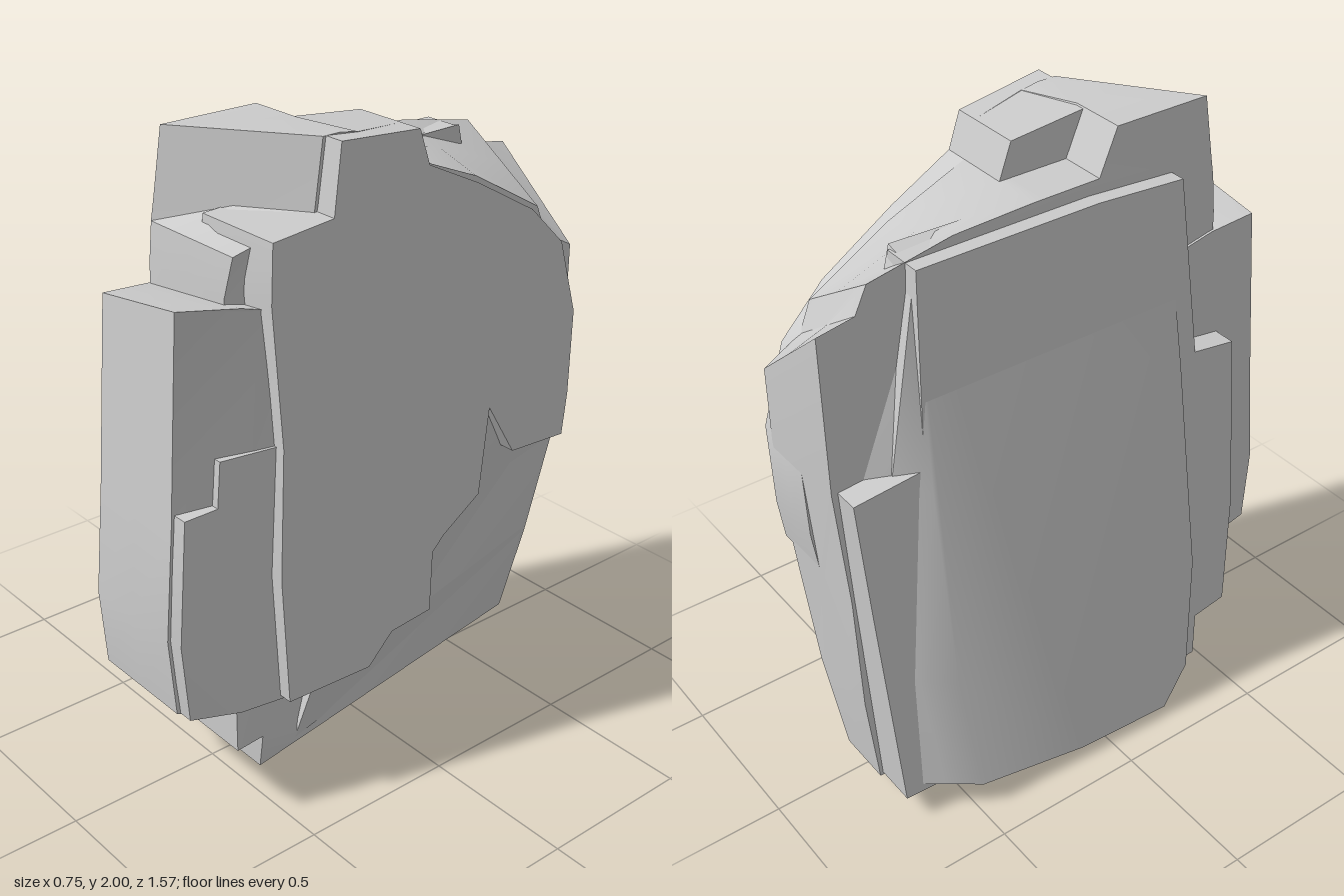
import * as THREE from 'three';
import { toCreasedNormals } from 'three/addons/utils/BufferGeometryUtils.js';

const material = new THREE.MeshStandardMaterial({ color: 0xcccccc, roughness: 0.9 });
const { lerp, smoothstep } = THREE.MathUtils;

// A rock layer: an outline of [z, y] corners, spanning x from left(y, z) to right(y, z).
// warp(w, y, z) returns a shifted [y, z], where w runs from 0 to 1 across the thickness.
function layer(name, outline, left, right, warp = (w, y, z) => [y, z]) {
  const shape = new THREE.Shape(outline.map(([z, y]) => new THREE.Vector2(-z, y)));
  const geo = new THREE.ExtrudeGeometry(shape, { depth: 1, steps: 2, bevelEnabled: false });
  geo.rotateY(Math.PI / 2);
  const p = geo.attributes.position;
  for (let i = 0; i < p.count; i++) {
    const w = p.getX(i), y = p.getY(i), z = p.getZ(i);
    p.setXYZ(i, lerp(left(y, z), right(y, z), w), ...warp(w, y, z));
  }
  const mesh = new THREE.Mesh(toCreasedNormals(geo, 0.6), material);
  mesh.name = name;
  return mesh;
}

export function createModel() {
  const group = new THREE.Group();
  group.name = 'layeredRock';
  const at = (x) => () => x;
  const leanLeft = (y) => -0.38 + 0.14 * y;
  const faceRight = (y, z) => 0.315 + 0.095 * z + 0.015 * (1 - y);
  // Lower flank, undercut towards the bottom and the back
  const undercut = (y, z) => Math.min(0.03 + 0.22 * y + 0.2 * Math.max(0, z + 0.3), 0.26);
  // Side of the front blocks, splaying out to meet the broad face slab
  const splay = (front) => (y, z) => lerp(0.34, front, smoothstep(z, 0.42, 0.74));

  group.add(
    // Main body: back top falling away to the left, front top corner cut at a slant
    layer('core', [
      [0.52, 2], [0.2, 2], [0.14, 1.99], [-0.05, 1.97], [-0.09, 1.86], [-0.35, 1.85],
      [-0.62, 1.8], [-0.66, 1.72], [-0.78, 1.7], [-0.78, 1.2], [-0.75, 0.8], [-0.74, 0.4],
      [-0.71, 0.08], [-0.35, 0.06], [0.2, 0.03], [0.46, 0.05], [0.47, 0.18], [0.57, 0.18],
      [0.57, 0.4], [0.57, 1.62], [0.56, 1.74], [0.55, 1.8],
    ], (y) => -0.14 + 0.02 * y,
    (y, z) => Math.min(undercut(y, z), 0.22 + 0.02 * z + (y > 1.7 && z > 0.1 ? 0.04 : 0)),
    (w, y, z) => {
      if (z > 0.45 && y > 1.78) return [y, z - 0.26 * w];
      if (z < -0.1 && y > 1.5) return [y + w * 0.38 * (z + 0.1), z];
      return [z < 0.18 && w < 0.75 ? Math.min(y, 1.86) : y, z];
    }),

    // Broad face slab with its corner notch, sloping back top and broken lower edge
    layer('leftSlab', [
      [0.25, 2], [-0.05, 1.97], [-0.09, 1.86], [-0.3, 1.76], [-0.55, 1.62], [-0.7, 1.48],
      [-0.78, 1.23], [-0.77, 0.95], [-0.75, 0.81], [-0.5, 0.84], [-0.38, 1.03], [-0.34, 0.75],
      [-0.18, 0.67], [-0.13, 0.63], [-0.12, 0.43], [0.05, 0.43], [0.15, 0.35], [0.48, 0.39],
      [0.5, 0.8], [0.48, 1.2], [0.51, 1.62], [0.5, 1.79], [0.28, 1.8],
    ], at(0.05), faceRight),

    // Chipped shelf beneath the broad face slab
    layer('lowerLeftShelf', [
      [-0.36, 1.05], [-0.5, 0.9], [-0.74, 0.82], [-0.73, 0.4], [-0.71, 0.09], [-0.3, 0.08],
      [0.3, 0.06], [0.2, 0.45], [0, 0.6],
    ], at(-0.05), undercut),

    // Projecting front block, wider in its lower half
    layer('frontBlock', [
      [0.42, 1.58], [0.56, 1.61], [0.72, 1.62], [0.76, 1], [0.79, 0.65], [0.77, 0.4],
      [0.6, 0.36], [0.42, 0.38],
    ], (y) => -0.14 + 0.015 * y, splay(0.22),
    (w, y, z) => [y > 1.5 ? y + 0.05 * (w - 1) : y, z]),
    layer('frontBlockStep', [
      [0.42, 1.2], [0.64, 1.19], [0.65, 1.05], [0.75, 1.04], [0.78, 0.65], [0.76, 0.4],
      [0.6, 0.37], [0.42, 0.38],
    ], at(0), splay(0.27)),

    // Leaning slabs on the right-hand side, the upper part set in from the back
    layer('rightSlab', [
      [0.4, 1.8], [0.1, 1.82], [-0.35, 1.82], [-0.5, 1.82], [-0.53, 1.22], [-0.76, 1.2],
      [-0.74, 0.8], [-0.7, 0.09], [0.2, 0.04], [0.45, 0.05], [0.46, 0.2], [0.58, 0.22],
      [0.61, 0.6], [0.6, 1.2], [0.45, 1.22],
    ], (y) => -0.28 + 0.07 * y, at(-0.02)),
    layer('outerRightSlab', [
      [0.36, 1.77], [0, 1.79], [-0.49, 1.8], [-0.52, 1.15], [-0.52, 0.5], [-0.48, 0.09],
      [-0.1, 0.02], [0.24, 0], [0.34, 0.12], [0.39, 0.5], [0.38, 1.2],
    ], leanLeft, (y) => leanLeft(y) + 0.12,
    (w, y, z) => [y + 0.03 * w, z < -0.4 && y < 1.2 ? z - 0.2 * w : z]),
  );
  return group;
}
